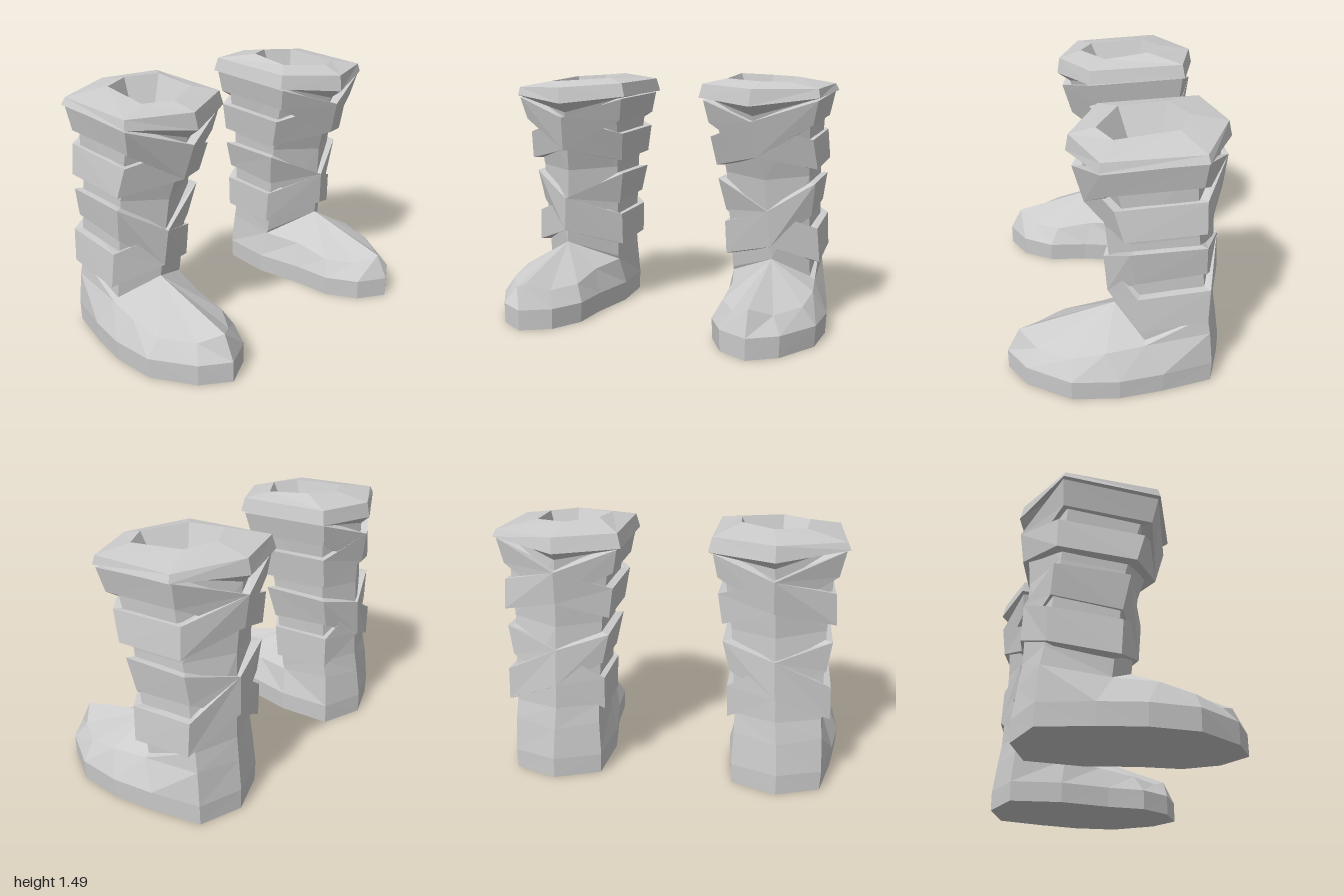
import * as THREE from 'three';

const material = new THREE.MeshStandardMaterial({ color: 0xcccccc, flatShading: true });

// Skin a stack of equal-length rings of [x, y, z]; side = -1 builds the mirrored part.
function loft(name, rings, side, { closed = false, capBottom = false } = {}) {
  const pos = [];
  const tri = (a, b, c) => {
    for (const p of side > 0 ? [a, b, c] : [a, c, b]) pos.push(p[0] * side, p[1], p[2]);
  };
  const n = rings[0].length;
  const last = closed ? rings.length : rings.length - 1;
  for (let r = 0; r < last; r++) {
    const a = rings[r], b = rings[(r + 1) % rings.length];
    for (let i = 0; i < n; i++) {
      const j = (i + 1) % n;
      if (a[i] !== a[j]) tri(a[i], a[j], b[j]);
      if (b[i] !== b[j]) tri(a[i], b[j], b[i]);
    }
  }
  if (capBottom) {
    for (let i = 1; i < n - 1; i++) tri(rings[0][0], rings[0][i + 1], rings[0][i]);
  }
  const geo = new THREE.BufferGeometry();
  geo.setAttribute('position', new THREE.Float32BufferAttribute(pos, 3));
  geo.computeVertexNormals();
  const mesh = new THREE.Mesh(geo, material);
  mesh.name = name;
  return mesh;
}

// Six-corner rings run: front, outer front, outer back, back, inner back, inner front.
const ankle = [[0.67, 0.41, 0], [0.87, 0.29, -0.145], [0.87, 0.43, -0.48],
  [0.62, 0.43, -0.56], [0.39, 0.43, -0.47], [0.39, 0.3, -0.17]];
const calf = [[0.63, 0.88, 0.05], [0.865, 0.9, -0.07], [0.87, 0.93, -0.41],
  [0.6, 0.92, -0.54], [0.36, 0.93, -0.45], [0.36, 0.9, -0.1]];
const collar = [[0.585, 1.25, 0.17], [0.88, 1.34, 0.05], [0.9, 1.38, -0.37],
  [0.58, 1.31, -0.56], [0.3, 1.36, -0.46], [0.31, 1.33, 0.02]];

// Padded rim, rolling over into a pointed opening.
const rimLower = [[0.58, 1.305, 0.25], [0.945, 1.35, 0.11], [0.965, 1.385, -0.42],
  [0.58, 1.355, -0.61], [0.23, 1.37, -0.51], [0.235, 1.345, 0.07]];
const rimUpper = [[0.59, 1.4, 0.235], [0.935, 1.4, 0.1], [0.945, 1.425, -0.41],
  [0.58, 1.44, -0.59], [0.25, 1.45, -0.495], [0.255, 1.425, 0.06]];
const rimInner = [[0.61, 1.44, 0.096], [0.76, 1.435, 0.02], [0.735, 1.465, -0.31],
  [0.565, 1.475, -0.39], [0.39, 1.485, -0.3], [0.375, 1.455, -0.04]];
const pit = Array(6).fill([0.595, 0.95, -0.19]);

// Wraps: each pair shares its front and back corners, so the two straps cross there.
const crossings = [
  { front: [[0.61, 1.02, 0.16], [0.585, 1.22, 0.22]], back: [[0.585, 1.07, -0.58], [0.58, 1.25, -0.6]],
    straps: [
      { outerFront: [[0.905, 1.2, 0.07], [0.935, 1.335, 0.1]], outerBack: [[0.915, 1.235, -0.41], [0.945, 1.38, -0.42]],
        innerBack: [[0.28, 1.23, -0.49], [0.255, 1.36, -0.5]], innerFront: [[0.285, 1.2, 0.03], [0.26, 1.33, 0.06]] },
      { outerFront: [[0.92, 0.945, -0.02], [0.9, 1.115, 0.03]], outerBack: [[0.92, 0.975, -0.44], [0.905, 1.15, -0.435]],
        innerBack: [[0.31, 0.97, -0.49], [0.285, 1.14, -0.49]], innerFront: [[0.31, 0.945, -0.06], [0.285, 1.115, -0.01]] },
    ] },
  { front: [[0.67, 0.49, 0.04], [0.65, 0.7, 0.06]], back: [[0.61, 0.575, -0.575], [0.6, 0.79, -0.565]],
    straps: [
      { outerFront: [[0.88, 0.665, -0.09], [0.905, 0.86, -0.05]], outerBack: [[0.88, 0.71, -0.46], [0.905, 0.88, -0.45]],
        innerBack: [[0.355, 0.7, -0.49], [0.315, 0.87, -0.49]], innerFront: [[0.355, 0.665, -0.12], [0.315, 0.86, -0.08]] },
      { outerFront: [[0.93, 0.39, -0.11], [0.915, 0.59, -0.095]], outerBack: [[0.92, 0.43, -0.475], [0.91, 0.625, -0.48]],
        innerBack: [[0.35, 0.42, -0.5], [0.345, 0.61, -0.5]], innerFront: [[0.35, 0.39, -0.15], [0.345, 0.59, -0.13]] },
    ] },
];

function strap({ front, back }, s, side) {
  const ring = (k) => [front, s.outerFront, s.outerBack, back, s.innerBack, s.innerFront].map((e) => e[k]);
  // Pull a ring towards the leg's axis so the strap edge sinks into the leg.
  const sink = (pts) => pts.map(([x, y, z]) => [0.62 + (x - 0.62) * 0.75, y, -0.24 + (z + 0.24) * 0.75]);
  const low = ring(0), high = ring(1);
  return loft('strap', [sink(low), low, high, sink(high)], side, { closed: true });
}

// Foot: twelve corners from the toe round the outer side, heel and inner side.
const soleOutline = [[0.68, 0.605], [0.84, 0.5], [0.985, 0.26], [1, 0], [0.96, -0.24], [0.89, -0.52],
  [0.64, -0.605], [0.38, -0.51], [0.35, -0.2], [0.4, 0.1], [0.41, 0.33], [0.51, 0.51]];
const upperEdge = [[0.675, 0.26, 0.535], [0.79, 0.21, 0.44], [0.91, 0.22, 0.26], [0.93, 0.26, 0.07],
  [0.9, 0.275, -0.145], [0.88, 0.32, -0.5], [0.63, 0.3, -0.58], [0.39, 0.32, -0.49],
  [0.39, 0.28, -0.18], [0.45, 0.26, 0.05], [0.46, 0.22, 0.28], [0.56, 0.21, 0.44]];
const instep = [0, 0, 0, 0, 1, 2, 3, 4, 5, 0, 0, 0].map((i) => ankle[i]);

function boot(side) {
  const group = new THREE.Group();
  group.name = side > 0 ? 'leftBoot' : 'rightBoot';
  const level = (y, k) => soleOutline.map(([x, z]) => [0.67 + (x - 0.67) * k, y, z]);
  group.add(
    loft('foot', [level(0, 0.98), level(0.12, 1), upperEdge, instep], side, { capBottom: true }),
    loft('shaft', [ankle, calf, collar], side),
    loft('rim', [collar, rimLower, rimUpper, rimInner], side),
    loft('opening', [rimInner, pit], side),
  );
  for (const c of crossings) for (const s of c.straps) group.add(strap(c, s, side));
  return group;
}

export function createModel() {
  const model = new THREE.Group();
  model.name = 'boots';
  model.add(boot(1), boot(-1));
  return model;
}
